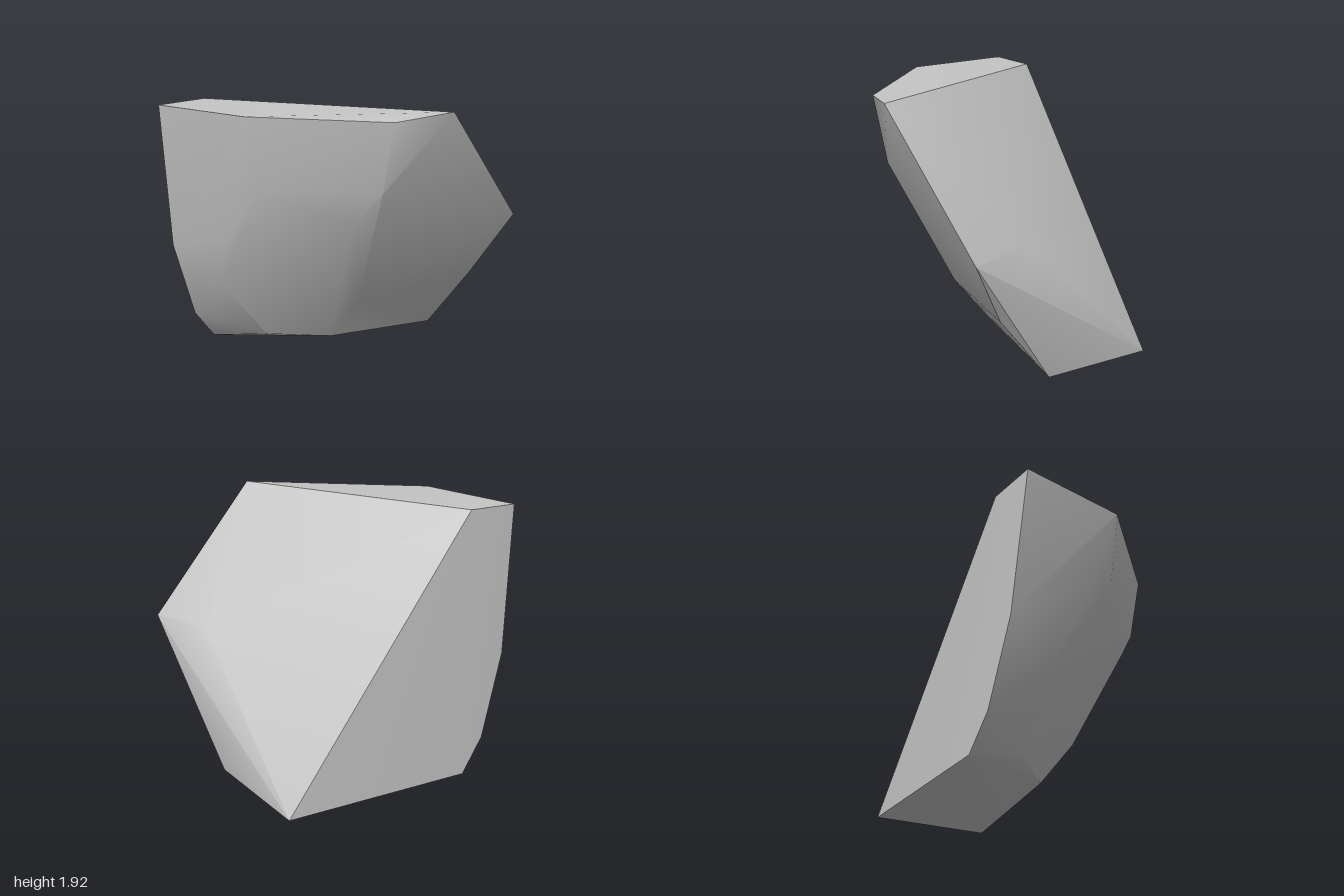
import * as THREE from 'three';
import { ConvexGeometry } from 'three/addons/geometries/ConvexGeometry.js';
import { toCreasedNormals } from 'three/addons/utils/BufferGeometryUtils.js';

export function createModel() {
  const model = new THREE.Group();
  model.name = 'rock';
  const stone = new THREE.MeshStandardMaterial({ color: 0xc5c5c5 });
  stone.name = 'stoneGrey';

  // Corners of the boulder, grouped by facet
  const corners = [
    // flat top
    [-1, 1.89, -0.8], [-0.61, 1.89, -0.8], [0.15, 1.925, 0.9], [-0.26, 1.89, 0.76], [-0.9, 1.91, 0.03],
    // left side, with its pointed front corner
    [0.86, 0, -0.8], [0.86, 1.04, 0.29], [1, 1.04, 0.765], [0.86, 0.55, 0.48], [0.86, 0.035, 0.07],
    // underside
    [-0.08, 0.135, -0.05], [-0.4, 0.135, -0.41], [-0.53, 0.015, -0.9],
    // back edge
    [-0.71, 0.25, -0.885], [-0.9, 0.84, -0.853],
    // rounded front and right side
    [-0.81, 1.4, 0.03], [-0.26, 1.4, 0.66], [-0.36, 1.17, 0.49],
    [-0.82, 0.99, -0.28], [-0.76, 0.6, -0.47], [-0.08, 0.48, 0.23],
  ].map((p) => new THREE.Vector3(...p));

  // Soft shading over the shallow bends, sharp edges elsewhere
  const crease = THREE.MathUtils.degToRad(32);
  const boulder = new THREE.Mesh(toCreasedNormals(new ConvexGeometry(corners), crease), stone);
  boulder.name = 'boulder';
  model.add(boulder);
  return model;
}
